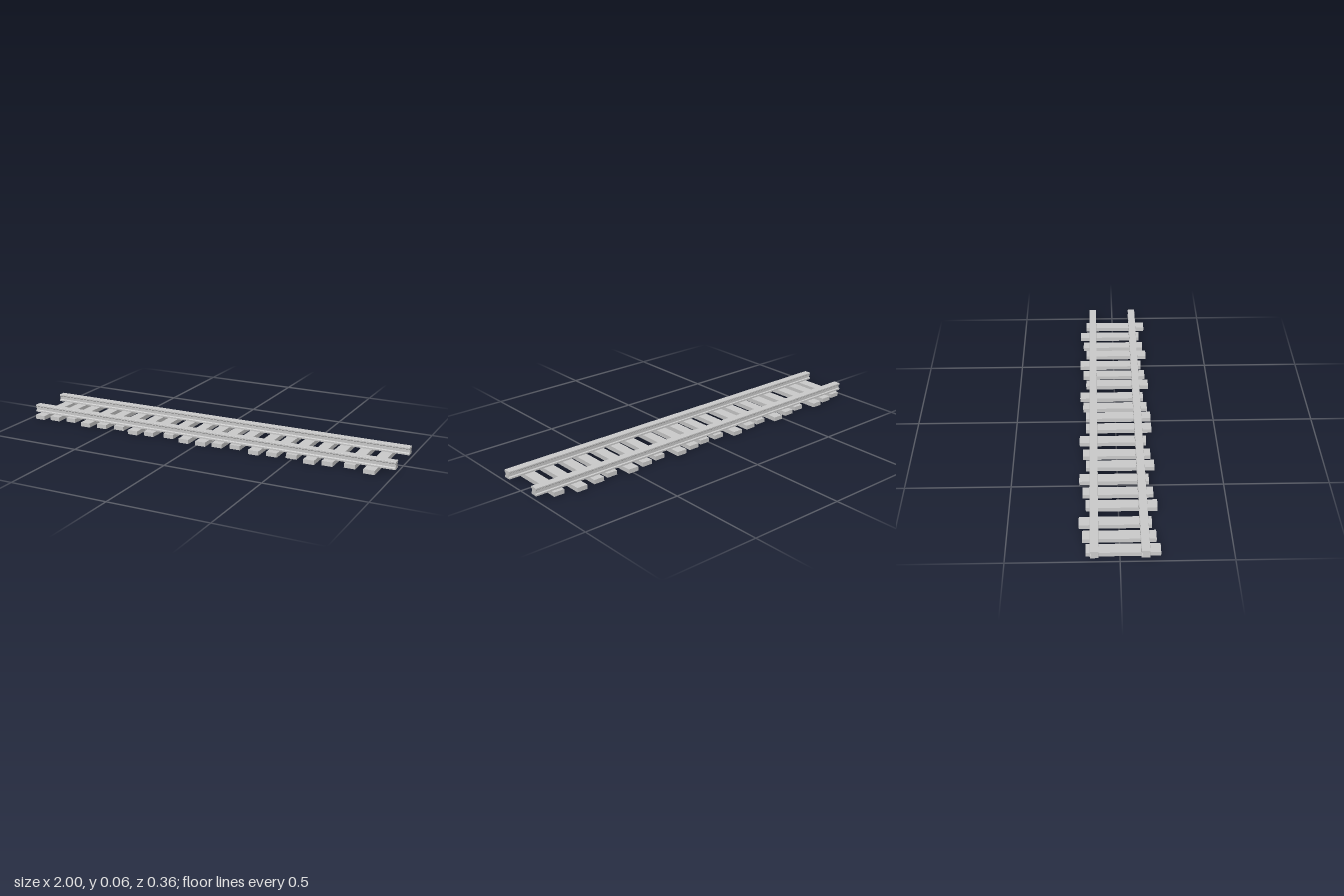
import * as THREE from 'three';

const material = new THREE.MeshStandardMaterial({ color: 0xcccccc, flatShading: true });

// I-shaped rail cross-section, as half width and height, mirrored about its centre
function railGeometry(length) {
  const half = [
    [0.019, 0.022], [0.019, 0.0295], [0.0175, 0.0315], [0.0135, 0.0335],
    [0.0135, 0.0485], [0.0175, 0.0505], [0.019, 0.0525], [0.019, 0.0595], [0.018, 0.0605],
  ];
  const mirrored = half.map(([w, y]) => [-w, y]).reverse();
  const shape = new THREE.Shape([...half, ...mirrored].map(([w, y]) => new THREE.Vector2(w, y)));
  const geometry = new THREE.ExtrudeGeometry(shape, { depth: length, bevelEnabled: false });
  geometry.translate(0, 0, -length / 2);
  geometry.rotateY(Math.PI / 2);
  return geometry;
}

export function createModel() {
  const group = new THREE.Group();
  group.name = 'railwayTrack';

  // Two parallel rails running along x
  const rail = railGeometry(2);
  for (const side of [1, -1]) {
    const mesh = new THREE.Mesh(rail, material);
    mesh.name = side > 0 ? 'frontRail' : 'backRail';
    mesh.position.z = side * 0.1115;
    group.add(mesh);
  }

  // Unevenly spaced sleepers: one run of ten, laid twice, staggered in z in threes
  const sleeper = new THREE.BoxGeometry(0.055, 0.0215, 0.328);
  const run = [-0.94, -0.855, -0.765, -0.652, -0.562, -0.467, -0.366, -0.28, -0.175, -0.071];
  const stagger = [0.015, 0, -0.016];
  for (let section = 0; section < 2; section++) {
    run.forEach((x, i) => {
      const mesh = new THREE.Mesh(sleeper, material);
      mesh.name = `sleeper${section * run.length + i + 1}`;
      mesh.position.set(x + section * 0.962, 0.01075, stagger[i % 3]);
      group.add(mesh);
    });
  }
  return group;
}
